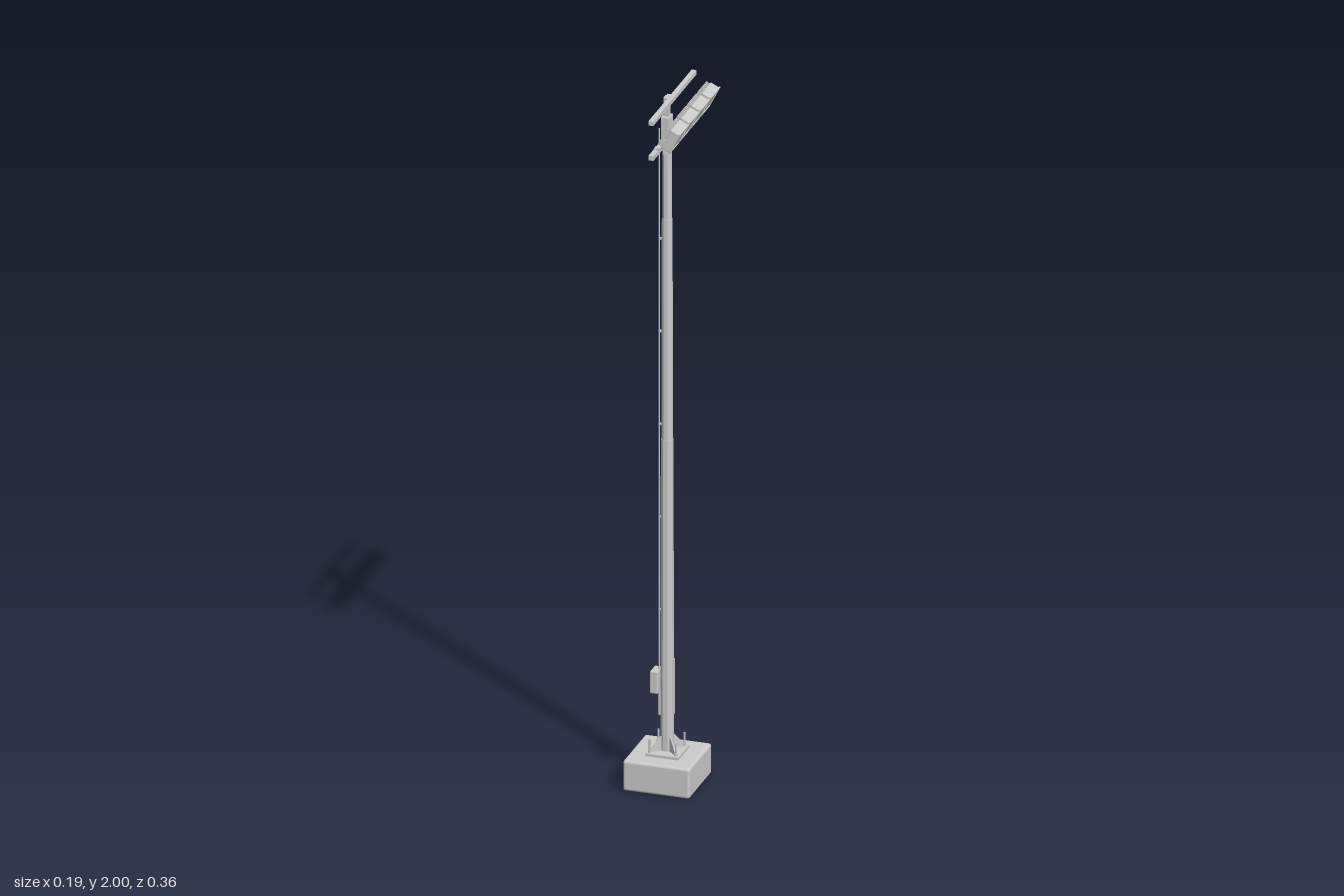
import * as THREE from 'three';
import { RoundedBoxGeometry } from 'three/addons/geometries/RoundedBoxGeometry.js';

const smooth = new THREE.MeshStandardMaterial({ color: 0xcccccc });
const flat = new THREE.MeshStandardMaterial({ color: 0xcccccc, flatShading: true });

export function createModel() {
  const root = new THREE.Group();
  root.name = 'floodlightMast';

  const add = (parent, name, geo, x, y, z, mat = smooth) => {
    const m = new THREE.Mesh(geo, mat);
    m.name = name;
    m.position.set(x, y, z);
    parent.add(m);
    return m;
  };
  const box = (parent, name, w, h, d, x, y, z) =>
    add(parent, name, new THREE.BoxGeometry(w, h, d), x, y, z);
  const cyl = (parent, name, r, h, x, y, z, sides = 12) =>
    add(parent, name, new THREE.CylinderGeometry(r, r, h, sides), x, y, z);

  // Foundation block and base plate
  add(root, 'foundation', new RoundedBoxGeometry(0.188, 0.088, 0.188, 3, 0.008), -0.001, 0.044, -0.001);
  box(root, 'basePlate', 0.094, 0.008, 0.094, -0.001, 0.092, -0.001);

  const mast = new THREE.Group();
  mast.name = 'mast';
  mast.position.set(-0.001, 0, -0.001);
  root.add(mast);

  // Stepped octagonal pole: bottom, top, lower radius, upper radius
  const tiers = [
    [0.094, 1.0, 0.0185, 0.017],
    [1.0, 1.64, 0.0158, 0.0145],
    [1.64, 1.94, 0.013, 0.0122],
  ];
  for (const [y0, y1, r0, r1] of tiers) {
    const g = new THREE.CylinderGeometry(r1, r0, y1 - y0, 8);
    g.rotateY(Math.PI / 8);
    add(mast, 'poleSection', g, 0, (y0 + y1) / 2, 0, flat);
  }

  // Diagonal stiffeners with anchor bolts
  const fin = new THREE.Shape();
  fin.moveTo(0.012, 0);
  fin.lineTo(0.049, 0);
  fin.lineTo(0.049, 0.008);
  fin.lineTo(0.022, 0.04);
  fin.lineTo(0.012, 0.04);
  const finGeo = new THREE.ExtrudeGeometry(fin, { depth: 0.003, bevelEnabled: false });
  finGeo.translate(0, 0, -0.0015);
  for (let i = 0; i < 4; i++) {
    const a = Math.PI / 4 + (i * Math.PI) / 2;
    add(mast, 'stiffener', finGeo, 0, 0.096, 0).rotation.y = a;
    const x = Math.cos(a) * 0.052, z = Math.sin(a) * 0.052;
    cyl(mast, 'anchorBolt', 0.0028, 0.038, x, 0.115, z, 10);
    cyl(mast, 'anchorNut', 0.005, 0.007, x, 0.0995, z, 6);
  }

  // Access door, control box, conduit and cable
  box(mast, 'accessDoor', 0.004, 0.16, 0.012, 0.018, 0.28, 0);
  add(mast, 'controlBox', new RoundedBoxGeometry(0.022, 0.064, 0.044, 2, 0.003), -0.031, 0.293, 0);
  box(mast, 'controlBoxMount', 0.008, 0.03, 0.016, -0.018, 0.293, 0);
  cyl(mast, 'conduit', 0.004, 0.07, -0.021, 0.228, 0);
  cyl(mast, 'cable', 0.0022, 1.58, -0.022, 1.11, 0, 8);
  for (let y = 0.5; y < 1.9; y += 0.27) {
    box(mast, 'cableClip', 0.012, 0.005, 0.007, -0.017, y, 0);
  }

  // Head sleeve, upright and crossbars
  box(mast, 'headSleeve', 0.022, 0.08, 0.036, -0.001, 1.9, 0);
  box(mast, 'headUpright', 0.014, 0.13, 0.016, -0.001, 1.93, 0);
  box(mast, 'upperBarMount', 0.016, 0.008, 0.03, 0.004, 1.993, 0);
  box(mast, 'lowerBarMount', 0.012, 0.012, 0.03, 0.008, 1.893, 0);
  box(mast, 'upperCrossbar', 0.014, 0.012, 0.362, 0.015, 1.994, 0);
  box(mast, 'lowerCrossbar', 0.014, 0.013, 0.362, 0.015, 1.893, 0);

  // Four tilted floodlights; local +x is the lit side
  for (let i = 0; i < 4; i++) {
    const z = (i - 1.5) * 0.0868;

    // Mounting arm and yoke
    const arm = new THREE.Group();
    arm.name = 'lampMount';
    arm.position.set(0, 0, z);
    mast.add(arm);
    box(arm, 'mountFoot', 0.014, 0.005, 0.018, 0.016, 1.901, 0);
    box(arm, 'mountArm', 0.034, 0.005, 0.01, 0.034, 1.903, 0);
    box(arm, 'yokeBase', 0.01, 0.004, 0.082, 0.049, 1.906, 0);
    for (const s of [-1, 1]) {
      box(arm, 'yokeSide', 0.008, 0.042, 0.002, 0.049, 1.926, s * 0.0405);
      const pivot = cyl(arm, 'pivotKnob', 0.005, 0.003, 0.049, 1.944, s * 0.0422);
      pivot.rotation.x = Math.PI / 2;
    }

    const lamp = new THREE.Group();
    lamp.name = 'floodlight';
    lamp.position.set(0.06, 1.945, z);
    lamp.rotation.z = -0.47;
    mast.add(lamp);
    add(lamp, 'housing', new RoundedBoxGeometry(0.026, 0.064, 0.075, 2, 0.003), 0.004, 0, 0);
    box(lamp, 'lens', 0.002, 0.056, 0.066, 0.0175, 0, 0);

    // Raised rim around the lens
    for (const s of [-1, 1]) {
      box(lamp, 'rim', 0.004, 0.005, 0.077, 0.0185, s * 0.0315, 0);
      box(lamp, 'rim', 0.004, 0.068, 0.005, 0.0185, 0, s * 0.036);
    }

    // Cooling fins on the back
    for (let k = 0; k < 8; k++) {
      box(lamp, 'coolingFin', 0.012, 0.058, 0.002, -0.0145, 0, (k - 3.5) * 0.0092);
    }
  }
  return root;
}
